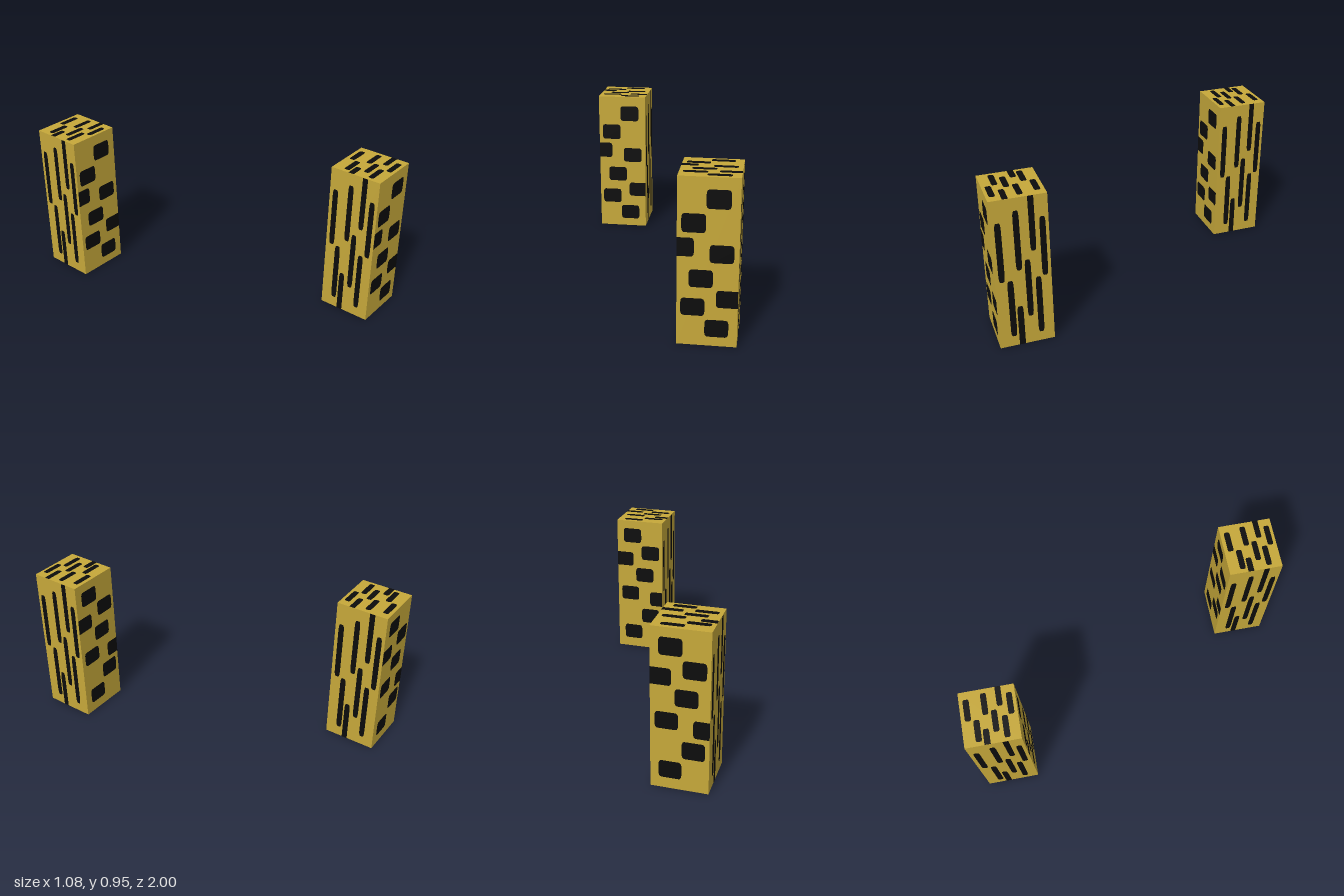
import * as THREE from 'three';

const W = 0.325, H = 0.95, D = 0.32, LIFT = 0.0015;

// Spots on a unit face: [u0, u1, v centre, half height]
const SPOTS = [
  [0.464, 0.857, 0.876, 0.055],
  [0.071, 0.464, 0.736, 0.055],
  [0, 0.277, 0.595, 0.055],
  [0.527, 0.92, 0.561, 0.053],
  [0.196, 0.589, 0.411, 0.053],
  [0.643, 1, 0.292, 0.052],
  [0.065, 0.46, 0.237, 0.053],
  [0.464, 0.857, 0.11, 0.053],
];

// Rounded spot; a side that meets the edge of the face is cut straight
function spotShape([u0, u1, v, h]) {
  const a = u0 > 0 ? 0.055 : 0, b = u1 < 1 ? 0.055 : 0, r = h * 0.55;
  const s = new THREE.Shape();
  s.moveTo(u0 + a, v - h);
  s.lineTo(u1 - b, v - h);
  if (b) s.quadraticCurveTo(u1, v - h, u1, v - h + r);
  s.lineTo(u1, v + h - (b ? r : 0));
  if (b) s.quadraticCurveTo(u1, v + h, u1 - b, v + h);
  s.lineTo(u0 + a, v + h);
  if (a) s.quadraticCurveTo(u0, v + h, u0, v + h - r);
  s.lineTo(u0, v - h + (a ? r : 0));
  if (a) s.quadraticCurveTo(u0, v - h, u0 + a, v - h);
  return s;
}

// Each face: name, direction of u, direction of v
const FACES = [
  ['front', [1, 0, 0], [0, 1, 0]],
  ['top', [1, 0, 0], [0, 0, -1]],
  ['back', [1, 0, 0], [0, -1, 0]],
  ['bottom', [1, 0, 0], [0, 0, 1]],
  ['left', [0, 1, 0], [0, 0, 1]],
  ['right', [0, 1, 0], [0, 0, -1]],
];

export function createModel() {
  const gold = new THREE.MeshStandardMaterial({ color: 0xc6a83a });
  gold.name = 'gold';
  const black = new THREE.MeshStandardMaterial({ color: 0x0c0c0c });
  black.name = 'black';

  const size = new THREE.Vector3(W, H, D);
  const block = new THREE.BoxGeometry(W, H, D);
  const spots = new THREE.ShapeGeometry(SPOTS.map(spotShape), 5);
  spots.translate(-0.5, -0.5, 0);

  function pillar(name, side) {
    const group = new THREE.Group();
    group.name = name;
    const body = new THREE.Mesh(block, gold);
    body.name = 'block';
    group.add(body);
    // The same spot pattern stretched over all six faces
    for (const [face, u, v] of FACES) {
      const U = new THREE.Vector3(...u), V = new THREE.Vector3(...v);
      const N = U.clone().cross(V);
      const centre = N.clone().multiply(size).multiplyScalar(0.5).addScaledVector(N, LIFT);
      const place = new THREE.Matrix4()
        .makeBasis(U.multiply(size), V.multiply(size), N)
        .setPosition(centre);
      const mesh = new THREE.Mesh(spots.clone().applyMatrix4(place), black);
      mesh.name = face + 'Spots';
      group.add(mesh);
    }
    group.position.set(side * 0.378, H / 2, side * 0.84);
    return group;
  }

  const model = new THREE.Group();
  model.name = 'spottedPillars';
  model.add(pillar('frontPillar', 1), pillar('backPillar', -1));
  return model;
}
